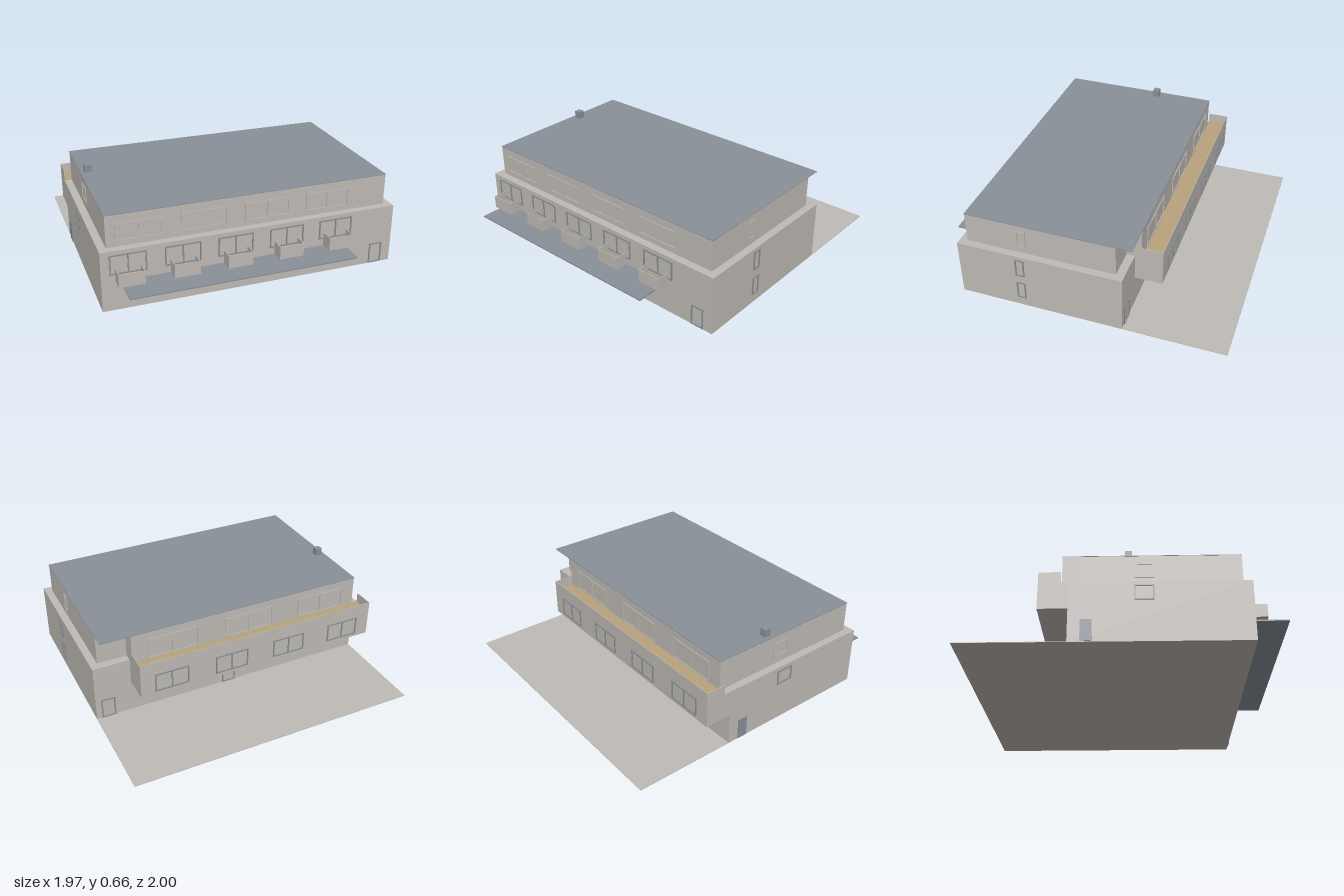
import * as THREE from 'three';

const flat = (name, color) => {
  const m = new THREE.MeshStandardMaterial({ color });
  m.name = name;
  return m;
};

export function createModel() {
  const wall = flat('wall grey', 0xbfbab5);
  const slate = flat('slate', 0x8a9099);
  const tan = flat('terrace tan', 0xb8a27c);
  const model = new THREE.Group();
  model.name = 'building';

  // Box given by its minimum and maximum on each axis
  const box = (name, mat, x0, x1, y0, y1, z0, z1, parent = model) => {
    const mesh = new THREE.Mesh(new THREE.BoxGeometry(x1 - x0, y1 - y0, z1 - z0), mat);
    mesh.position.set((x0 + x1) / 2, (y0 + y1) / 2, (z0 + z1) / 2);
    mesh.name = name;
    parent.add(mesh);
    return mesh;
  };

  // Open tray with thin walls on the front and both ends, opening towards -z
  const parapet = (name, x0, x1, y0, y1, z0, z1, parent = model) => {
    const t = 0.004;
    box(name + 'Front', wall, x0, x1, y0, y1, z1 - t, z1, parent);
    box(name + 'End', wall, x0, x0 + t, y0, y1, z0, z1 - t, parent);
    box(name + 'End', wall, x1 - t, x1, y0, y1, z0, z1 - t, parent);
  };

  // Thin frame on a wall; turn is the wall's heading about y
  const frame = (name, mat, x, z, turn, w, y0, y1, panes = 1) => {
    const g = new THREE.Group();
    g.name = name;
    const b = 0.008, d = 0.006, h = w / 2;
    for (let i = 0; i <= panes; i++) {
      const c = -h + b / 2 + (i * (w - b)) / panes;
      box('upright', mat, c - b / 2, c + b / 2, y0, y1, 0, d, g);
    }
    box('sill', mat, -h + b, h - b, y0, y0 + b, 0, d - 0.0005, g);
    box('head', mat, -h + b, h - b, y1 - b, y1, 0, d - 0.0005, g);
    g.position.set(x, 0, z);
    g.rotation.y = turn;
    model.add(g);
  };
  const BACK = Math.PI, LEFT = Math.PI / 2, RIGHT = -Math.PI / 2;

  // Ground and lower storeys
  box('ground', wall, -0.98, 0.98, 0, 0.004, -1, 0.78);
  box('lowerStoreys', wall, -0.98, 0.98, 0.004, 0.4, -0.325, 0.78);

  // Rear overhanging rooms with a terrace on top
  box('rearRooms', wall, -0.98, 0.73, 0.22, 0.4, -0.508, -0.325);
  box('terraceFloor', tan, -0.976, 0.726, 0.4, 0.404, -0.504, -0.37);
  const t = 0.004;
  box('terraceWall', wall, -0.98, 0.73, 0.4, 0.47, -0.508, -0.508 + t);
  for (const x of [-0.98, 0.73 - t])
    box('terraceEndWall', wall, x, x + t, 0.4, 0.47, -0.508 + t, -0.37);

  // Top storey, cut away at one rear corner under the roof
  box('topStorey', wall, -0.93, 0.93, 0.4, 0.608, -0.27, 0.73);
  box('topStoreyRear', wall, -0.93, 0.73, 0.4, 0.608, -0.37, -0.27);
  box('roof', slate, -0.932, 0.932, 0.608, 0.612, -0.372, 0.732);
  box('chimney', slate, -0.905, -0.86, 0.612, 0.663, 0.012, 0.057);

  // Front canopy, windows and balconies
  box('canopy', slate, -0.86, 0.61, 0.187, 0.195, 0.78, 1);
  for (let i = 0; i < 5; i++) {
    const x = -0.811 + 0.3425 * i;
    frame('frontWindow', slate, x, 0.78, 0, 0.23, 0.243, 0.373, 2);
    const g = new THREE.Group();
    g.name = 'balcony';
    model.add(g);
    box('balconyFloor', wall, x - 0.081, x + 0.081, 0.198, 0.203, 0.78, 0.868, g);
    parapet('balcony', x - 0.081, x + 0.081, 0.203, 0.285, 0.78, 0.868, g);
  }
  for (let i = 0; i < 4; i++) {
    frame('topFrontWindow', wall, -0.725 + 0.413 * i, 0.73, 0, 0.295, 0.435, 0.555, 2);
    frame('rearWindow', slate, -0.765 + 0.427 * i, -0.508, BACK, 0.235, 0.245, 0.375, 2);
  }
  for (let i = 0; i < 3; i++)
    frame('terraceDoor', wall, -0.66 + 0.553 * i, -0.37, BACK, 0.355, 0.41, 0.555, 2);

  // Side windows
  for (const [y0, y1] of [[0.063, 0.19], [0.247, 0.375]])
    frame('leftWindow', slate, 0.98, 0.352, LEFT, 0.06, y0, y1);
  frame('topLeftWindow', wall, 0.93, 0.352, LEFT, 0.06, 0.445, 0.565);
  frame('rightWindow', slate, -0.98, 0.13, RIGHT, 0.12, 0.275, 0.375);
  frame('topRightWindow', wall, -0.93, 0.13, RIGHT, 0.12, 0.455, 0.555);

  // Doors
  frame('frontDoor', slate, 0.868, 0.78, 0, 0.09, 0.004, 0.145);
  for (const x of [0.02, 0.895]) frame('rearDoor', slate, x, -0.325, BACK, 0.095, 0.004, 0.145);
  box('sideDoor', slate, -0.985, -0.98, 0.004, 0.145, -0.25, -0.18);

  return model;
}
